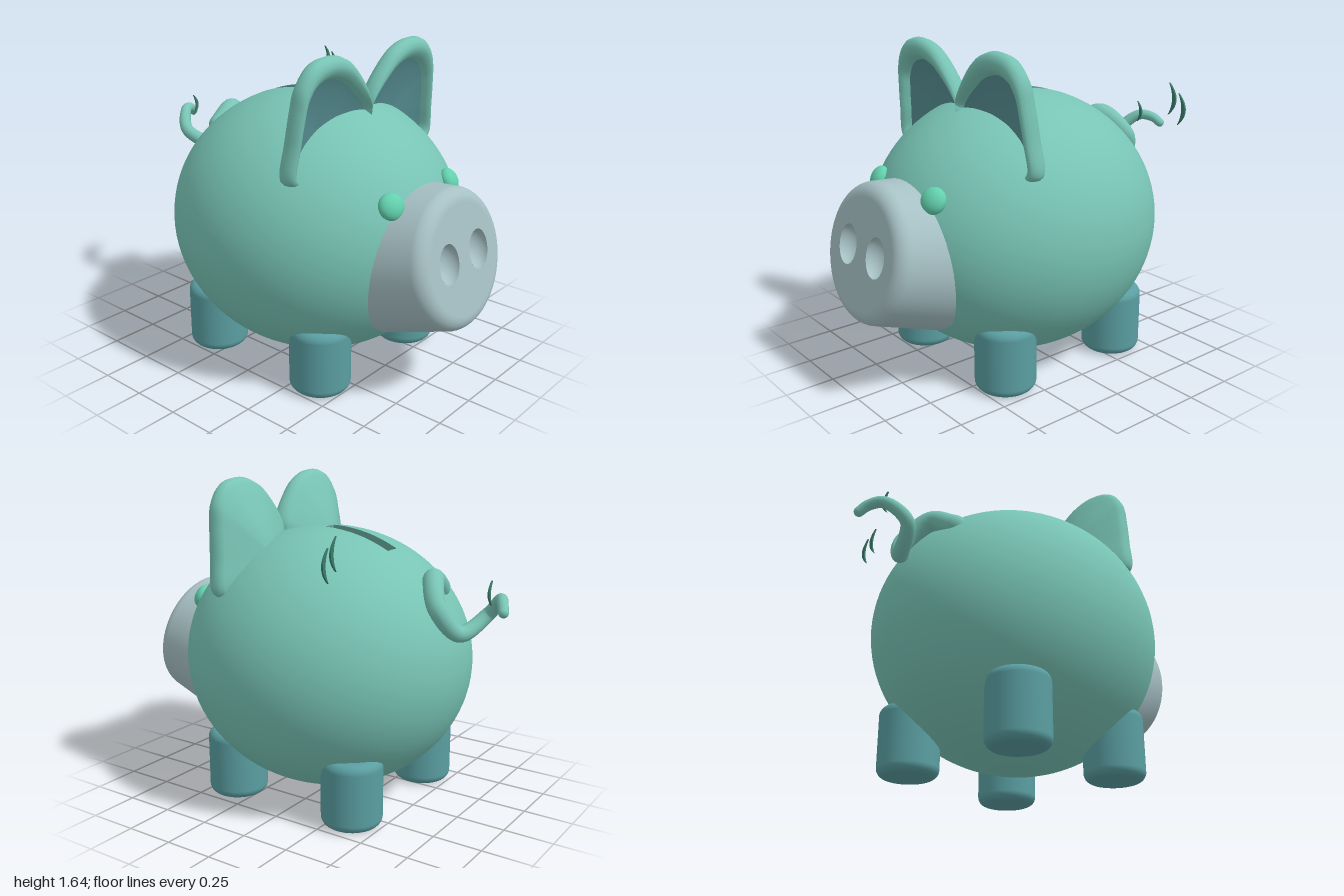
import * as THREE from 'three';
import { toCreasedNormals } from 'three/addons/utils/BufferGeometryUtils.js';

const V = (x, y, z) => new THREE.Vector3(x, y, z);
const paint = (name, color) => new THREE.MeshStandardMaterial({ name, color, side: THREE.DoubleSide });
const CX = -0.01; // symmetry plane of the pig

// skin through closed rings of equal point count
function loft(rings) {
  const n = rings[0].length, index = [];
  for (let i = 0; i < rings.length - 1; i++) {
    for (let j = 0; j < n; j++) {
      const k = (j + 1) % n, a = i * n + j, b = i * n + k, c = a + n, d = b + n;
      index.push(a, b, c, b, d, c);
    }
  }
  const geo = new THREE.BufferGeometry().setFromPoints(rings.flat());
  geo.setIndex(index);
  geo.computeVertexNormals();
  return geo;
}

// rounded quarter arc in a lathe profile
function arc(cx, cy, r, from, to, steps = 8) {
  return Array.from({ length: steps + 1 }, (_, i) => {
    const a = from + (to - from) * i / steps;
    return new THREE.Vector2(cx + r * Math.cos(a), cy + r * Math.sin(a));
  });
}

export function createModel() {
  const pig = new THREE.Group();
  pig.name = 'piggyBank';
  const skin = paint('skin green', 0x78c4b5);
  const snoutGrey = paint('snout grey', 0xa6c0c4);
  const legTeal = paint('leg teal', 0x5a9ea1);
  const earInside = paint('inner ear teal', 0x568e92);
  const eyeGreen = paint('eye green', 0x62d0ac);
  const markGreen = paint('mark green', 0x3c7d6a);
  const slotGreen = paint('slot green', 0x64a598);

  const add = (parent, name, geo, mat, x = 0, y = 0, z = 0) => {
    const mesh = new THREE.Mesh(geo, mat);
    mesh.name = name;
    mesh.position.set(x, y, z);
    parent.add(mesh);
    return mesh;
  };

  // Body: ellipsoid whose rings spread out from the rectangular coin slot
  const N = 80, R = 44, clamp = THREE.MathUtils.clamp;
  const rings = [];
  for (let i = 0; i <= R; i++) {
    const t = i / R, ring = [];
    for (let j = 0; j < N; j++) {
      const a = j / N * Math.PI * 2, c = Math.cos(a), s = Math.sin(a);
      const u = THREE.MathUtils.lerp(0.061 * clamp(c * Math.SQRT2, -1, 1), Math.PI * c, t);
      const v = THREE.MathUtils.lerp(0.257 * clamp(s * Math.SQRT2, -1, 1), Math.PI * s, t);
      const phi = Math.hypot(u, v), w = Math.sin(phi) / phi;
      ring.push(V(u * w, Math.cos(phi), v * w).applyAxisAngle(V(1, 0, 0), -0.263)
        .multiply(V(0.7, 0.672, 0.755)).add(V(CX, 0.72, 0.03)));
    }
    rings.push(ring);
  }
  add(pig, 'body', loft(rings), skin);

  // Coin slot walls and floor
  const rim = rings[0];
  const floor = rim.map(p => V(p.x, 1.22, p.z));
  const middle = rim.map(() => V(CX, 1.22, -0.16));
  add(pig, 'coinSlot', toCreasedNormals(loft([rim, floor, middle]), 0.6), slotGreen);

  // Snout: tapered, tilted up, with a rounded front edge and two dished nostrils
  const snout = new THREE.Group();
  snout.name = 'snout';
  snout.position.set(CX, 0.728, 0.935);
  snout.rotation.x = -0.211;
  pig.add(snout);
  const FACE = 0.268;
  const side = [new THREE.Vector2(0.383, -0.4), ...arc(FACE, -0.07, 0.07, 0.12, Math.PI / 2, 10)];
  add(snout, 'snoutSide', new THREE.LatheGeometry(side, 64).rotateX(Math.PI / 2), snoutGrey);
  const face = new THREE.Shape().absarc(0, 0, FACE, 0, Math.PI * 2);
  for (const s of [-1, 1]) {
    face.holes.push(new THREE.Path().absellipse(s * 0.1225, 0.012, 0.077, 0.097, 0, Math.PI * 2, true));
    const dish = new THREE.SphereGeometry(1, 40, 14, 0, Math.PI * 2, Math.PI / 2, Math.PI / 2)
      .rotateX(Math.PI / 2).scale(0.077, 0.097, 0.07);
    add(snout, 'nostril', dish, snoutGrey, s * 0.1225, 0.012, 0);
  }
  add(snout, 'snoutFace', new THREE.ShapeGeometry(face, 32), snoutGrey);

  // Eyes: flattened beads lying on the body surface
  for (const s of [-1, 1]) {
    const eye = add(pig, 'eye', new THREE.SphereGeometry(1, 28, 18), eyeGreen, CX + s * 0.235, 0.99, 0.682);
    eye.scale.set(0.064, 0.064, 0.042);
    eye.quaternion.setFromUnitVectors(V(0, 0, 1), V(s * 0.49, 0.6, 1.14).normalize());
  }

  // Legs: short cylinders with rounded ends
  const legProfile = [new THREE.Vector2(0, 0), ...arc(0.107, 0.045, 0.045, -Math.PI / 2, 0),
    ...arc(0.107, 0.305, 0.045, 0, Math.PI / 2), new THREE.Vector2(0, 0.35)];
  const legGeo = new THREE.LatheGeometry(legProfile, 40);
  for (const s of [-1, 1]) {
    add(pig, 'frontLeg', legGeo, legTeal, CX + s * 0.352, 0, 0.367);
    add(pig, 'backLeg', legGeo, legTeal, CX + s * 0.352, 0, -0.347);
  }

  // Ears: thick rounded rim, hollow dark front and bulging back
  const outline = pts => new THREE.CatmullRomCurve3(pts.map(p => V(p[0], p[1], 0)), true)
    .getPoints(96).slice(0, 96).map(p => V(Math.max(p.x, 0), p.y, 0));
  const outer = outline([[0, 1.39], [0.13, 1.57], [0.21, 1.62], [0.31, 1.64], [0.42, 1.615], [0.49, 1.53],
    [0.512, 1.42], [0.53, 1.27], [0.545, 1.1], [0.5, 1.07], [0.25, 1.15], [0, 1.25]]);
  const inner = outline([[0, 1.33], [0.13, 1.46], [0.21, 1.51], [0.31, 1.53], [0.4, 1.5], [0.45, 1.43],
    [0.467, 1.35], [0.48, 1.25], [0.49, 1.13], [0.45, 1.1], [0.25, 1.17], [0, 1.26]]);
  const hub = V(0.27, 1.25, 0);
  const lean = (p, dz) => V(p.x, p.y, 0.33 + 0.1 * (p.y - 1.2) + dz);
  const band = (t, dz) => inner.map((p, i) => lean(p.clone().lerp(outer[i], t), dz));
  const shrink = (pts, k, dz) => pts.map(p => lean(hub.clone().lerp(p, k), dz));
  const shell = loft([band(0, -0.005), band(0.12, 0.022), band(0.35, 0.041), band(0.6, 0.043), band(0.82, 0.032),
    band(0.95, 0.014), band(1, -0.01), shrink(outer, 0.975, -0.034), shrink(outer, 0.92, -0.05),
    shrink(outer, 0.8, -0.068), shrink(outer, 0.6, -0.1), shrink(outer, 0.3, -0.138), shrink(outer, 0.001, -0.15)]);
  const hollow = loft([band(0, -0.005), shrink(inner, 0.85, -0.02), shrink(inner, 0.5, -0.04), shrink(inner, 0.001, -0.05)]);
  for (const s of [-1, 1]) {
    const ear = new THREE.Group();
    ear.name = s > 0 ? 'leftEar' : 'rightEar';
    ear.position.x = CX;
    ear.scale.x = s;
    add(ear, 'earShell', shell, skin);
    add(ear, 'earInside', hollow, earInside);
    pig.add(ear);
  }

  // Curly tail: tube that tapers toward a round tip
  const path = new THREE.CatmullRomCurve3([V(-0.13, 1.12, -0.54), V(0, 1.18, -0.58), V(0.105, 1.07, -0.66),
    V(0.03, 0.945, -0.74), V(-0.105, 1.03, -0.825), V(-0.04, 1.12, -0.91), V(0.03, 1.115, -0.95), V(0.068, 1.085, -0.972)]);
  const T = 100, S = 16, tailGeo = new THREE.TubeGeometry(path, T, 1, S);
  const radius = t => 0.058 - 0.034 * t;
  const pos = tailGeo.attributes.position;
  for (let i = 0; i < pos.count; i++) {
    const t = Math.floor(i / (S + 1)) / T, c = path.getPointAt(t);
    const p = V().fromBufferAttribute(pos, i).sub(c).multiplyScalar(radius(t)).add(c);
    pos.setXYZ(i, p.x, p.y, p.z);
  }
  add(pig, 'tail', tailGeo, skin);
  for (const t of [0, 1]) {
    add(pig, 'tailEnd', new THREE.SphereGeometry(radius(t), 20, 14), skin, ...path.getPointAt(t).toArray());
  }

  // Wiggle marks: thin crescents beside the body and by the tail
  const crescent = new THREE.Shape();
  crescent.moveTo(0, 0.077);
  crescent.quadraticCurveTo(0.088, 0, 0, -0.077);
  crescent.quadraticCurveTo(0.046, 0, 0, 0.077);
  const markGeo = new THREE.ExtrudeGeometry(crescent, { depth: 0.009, bevelEnabled: false, curveSegments: 14 });
  add(pig, 'wiggleMark', markGeo, markGreen, 0.607, 1.375, -0.435);
  add(pig, 'wiggleMark', markGeo, markGreen, 0.667, 1.333, -0.435);
  add(pig, 'tailMark', markGeo, markGreen, -0.015, 1.15, -0.878).scale.set(0.8, 0.75, 1);

  return pig;
}
